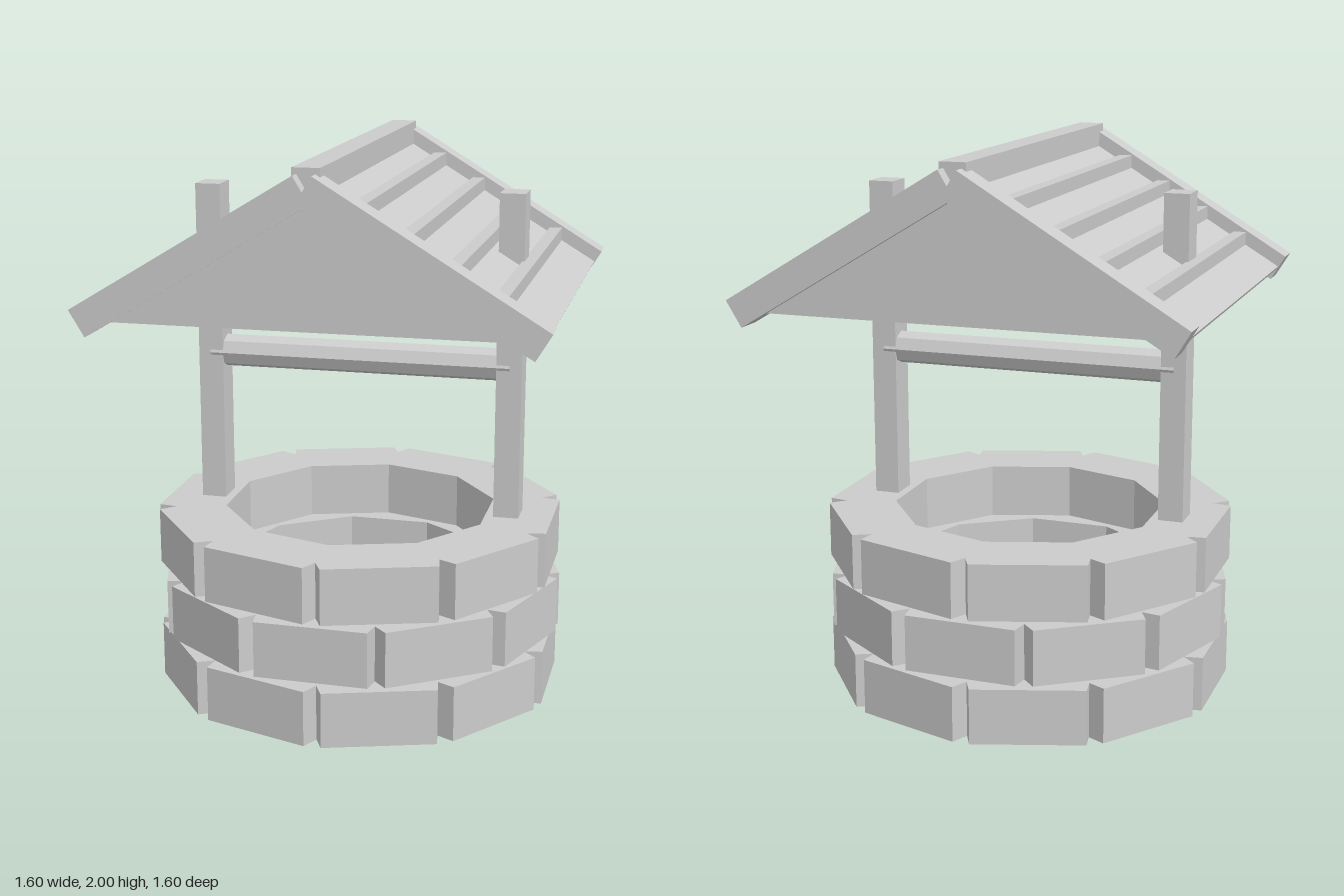
import * as THREE from 'three';

const stone = new THREE.MeshStandardMaterial({ color: 0xcccccc });
stone.name = 'plain grey';

const PITCH = 0.604;                        // roof drop per unit of x
const ANGLE = Math.atan(PITCH);
const roofY = x => 1.943 - PITCH * x;       // top of the roof sheet

function add(parent, name, geometry, x = 0, y = 0, z = 0) {
  const mesh = new THREE.Mesh(geometry, stone);
  mesh.name = name;
  mesh.position.set(x, y, z);
  parent.add(mesh);
  return mesh;
}

function polygon(points) {
  return new THREE.Shape(points.map(([x, y]) => new THREE.Vector2(x, y)));
}

// Ten-sided ring of bricks with V-shaped joints on the outside
function brickRing(offset, height) {
  const deg = Math.PI / 180, outer = [], inner = [];
  const at = (r, a) => [1.027 * r * Math.sin(a * deg), -r * Math.cos(a * deg)];
  for (let i = 0; i < 10; i++) {
    const a = i * 36 + offset;
    outer.push(at(0.731, a - 2.35), at(0.67, a), at(0.731, a + 2.35));
    inner.push(at(0.49, a));
  }
  const shape = polygon(outer);
  shape.holes.push(polygon(inner));
  const geometry = new THREE.ExtrudeGeometry(shape, { depth: height, bevelEnabled: false });
  return geometry.rotateX(-Math.PI / 2);
}

export function createModel() {
  const model = new THREE.Group();
  model.name = 'well';

  // Well wall: three courses, the middle one turned by half a brick
  [[0, 0], [0.228, 17], [0.452, 0]].forEach(([y, offset], i) =>
    add(model, `brickCourse${i + 1}`, brickRing(offset, 0.203), 0, y, 0));

  // Posts rise from the wall through the roof
  for (const s of [-1, 1]) {
    add(model, s > 0 ? 'leftPost' : 'rightPost',
      new THREE.BoxGeometry(0.092, 1.51, 0.112), s * 0.556, 1.085, 0);
  }

  // Eight-sided winding beam
  const beam = new THREE.CylinderGeometry(0.06, 0.06, 1.115, 8).rotateZ(Math.PI / 2).toNonIndexed();
  beam.computeVertexNormals();
  add(model, 'windingBeam', beam, 0, 1.215, 0);

  const roof = new THREE.Group();
  roof.name = 'roof';
  model.add(roof);

  // Thin sloping sheet
  const t = 0.012, eave = 0.772;
  const sheet = polygon([
    [-eave, roofY(eave)], [-eave + 0.006, roofY(eave) - t], [0, roofY(0) - t - 0.003],
    [eave - 0.006, roofY(eave) - t], [eave, roofY(eave)], [0, roofY(0)],
  ]);
  add(roof, 'roofSheet',
    new THREE.ExtrudeGeometry(sheet, { depth: 1.42, bevelEnabled: false }), 0, 0, -0.71);

  // Square battens along both slopes
  for (const s of [-1, 1]) {
    for (let i = 0; i < 4; i++) {
      const outerX = 0.18 + i * 0.154;
      add(roof, 'batten', new THREE.BoxGeometry(0.048, 0.058, 1.42),
        s * (outerX - 0.024), roofY(outerX) + 0.02, 0);
    }
  }

  // Ridge beam
  add(roof, 'ridgeBeam', new THREE.BoxGeometry(0.094, 0.1, 1.5), 0, 1.95, 0);

  // Gable panels and barge boards at both ends
  const gable = polygon([[-0.72, 1.475], [0.72, 1.475], [0, 1.91]]);
  for (const end of [-1, 1]) {
    add(roof, 'gablePanel',
      new THREE.ExtrudeGeometry(gable, { depth: 0.04, bevelEnabled: false }), 0, 0, end * 0.75 - 0.02);
    for (const s of [-1, 1]) {
      const board = add(roof, 'bargeBoard', new THREE.BoxGeometry(0.897, 0.105, 0.1),
        s * 0.388, 1.703, end * 0.75);
      board.rotation.z = -s * ANGLE;
    }
  }
  return model;
}
